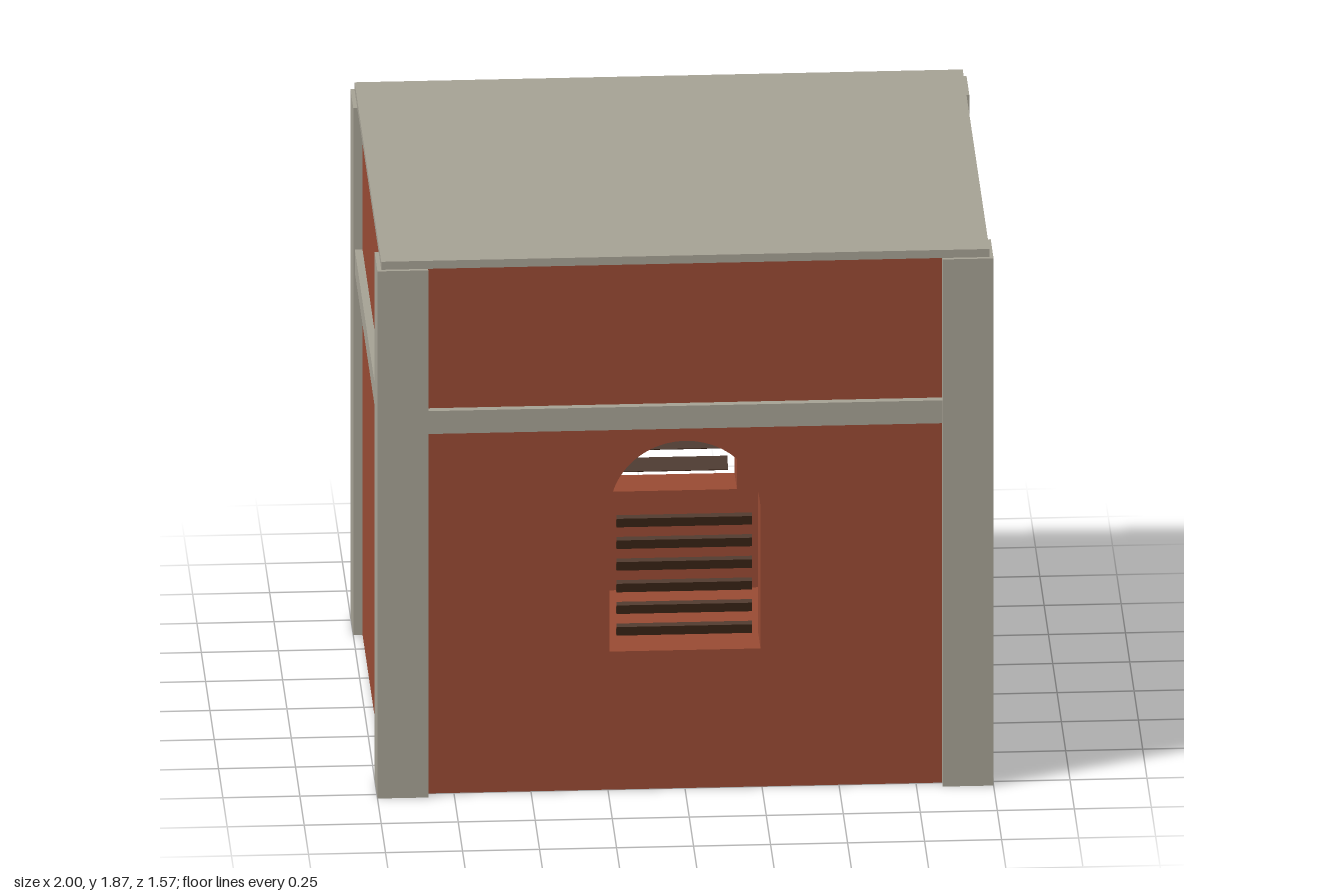
import * as THREE from 'three';

const H = 1.845;              // wall and pillar height
const X = 1, Z = 0.785;       // half extents over the pillars
const PILLAR = 0.165;
const INSET = 0.03;           // walls sit back from the pillar faces
const WALL = 0.14;            // wall thickness
const BASE = 0.002;           // keeps wall undersides off the pillar feet

function makeMaterial(name, color) {
  const m = new THREE.MeshStandardMaterial({ color });
  m.name = name;
  return m;
}

function add(parent, name, geometry, material, x = 0, y = 0, z = 0) {
  const mesh = new THREE.Mesh(geometry, material);
  mesh.name = name;
  mesh.position.set(x, y, z);
  parent.add(mesh);
  return mesh;
}

function polygon(points, Type = THREE.Shape) {
  return new Type(points.map(([x, y]) => new THREE.Vector2(x, y)));
}

function extrudeWall(shape) {
  return new THREE.ExtrudeGeometry(shape, { depth: WALL, bevelEnabled: false, curveSegments: 24 });
}

// Long wall with an arched window opening
function windowWallGeometry() {
  const w = X - INSET, r = 0.245;
  const shape = polygon([[-w, BASE], [w, BASE], [w, H], [-w, H]]);
  const hole = new THREE.Path();
  hole.moveTo(-r, 0.485);
  hole.lineTo(r, 0.485);
  hole.lineTo(r, 0.972);
  hole.absarc(0, 0.972, r, 0, Math.PI, false);
  hole.lineTo(-r, 0.485);
  shape.holes.push(hole);
  return extrudeWall(shape);
}

// Short wall with a doorway and a row of square vents above it
function doorWallGeometry() {
  const w = Z - INSET - WALL, d = 0.245, top = 1.14;
  const shape = polygon([
    [-w, BASE], [-d, BASE], [-d, top], [d, top], [d, BASE], [w, BASE], [w, H], [-w, H],
  ]);
  for (let i = -2; i <= 2; i++) {
    const c = i * 0.108, s = 0.034;
    shape.holes.push(polygon([
      [c - s, 1.19], [c - s, 1.255], [c + s, 1.255], [c + s, 1.19],
    ], THREE.Path));
  }
  return extrudeWall(shape);
}

export function createModel() {
  const brick = makeMaterial('brick red', 0x984a33);
  const stone = makeMaterial('stone grey', 0xa5a194);
  const wood = makeMaterial('dark wood', 0x482d1c);

  const model = new THREE.Group();
  model.name = 'brickHut';

  // Front and back: wall, tilted window slats
  const windowWall = windowWallGeometry();
  const slat = new THREE.BoxGeometry(0.44, 0.045, 0.015);
  for (const side of ['front', 'back']) {
    const group = new THREE.Group();
    group.name = side + 'Side';
    group.rotation.y = side === 'front' ? 0 : Math.PI;
    model.add(group);
    add(group, side + 'Wall', windowWall, brick, 0, 0, Z - INSET - WALL);
    for (let i = 0; i < 6; i++) {
      const s = add(group, side + 'WindowSlat', slat, wood, 0, 0.541 + i * 0.0758, Z - INSET - 0.05);
      s.rotation.x = Math.PI / 6;
    }
  }

  // Doorway wall on +x, plain wall on -x
  const doorWall = add(model, 'doorWall', doorWallGeometry(), brick, X - INSET - WALL);
  doorWall.rotation.y = Math.PI / 2;
  add(model, 'plainWall', new THREE.BoxGeometry(WALL, H - BASE, 2 * (Z - INSET - WALL)), brick,
    -(X - INSET - WALL / 2), (H + BASE) / 2, 0);

  // Raised floor, stopping at the inner wall faces
  add(model, 'floor', new THREE.BoxGeometry(2 * (X - INSET - WALL), 0.14 - BASE, 2 * (Z - INSET - WALL)),
    brick, 0, (0.14 + BASE) / 2, 0);

  // Corner pillars
  const pillar = new THREE.BoxGeometry(PILLAR, H, PILLAR);
  for (const sx of [-1, 1]) {
    for (const sz of [-1, 1]) {
      add(model, 'cornerPillar', pillar, stone, sx * (X - PILLAR / 2), H / 2, sz * (Z - PILLAR / 2));
    }
  }

  // Bands running between the pillars
  const depth = 0.06, gap = 0.005;
  const longBand = new THREE.BoxGeometry(2 * (X - PILLAR), 0.08, depth);
  const shortBand = new THREE.BoxGeometry(depth, 0.08, 2 * (Z - PILLAR));
  for (const s of [-1, 1]) {
    add(model, 'longBand', longBand, stone, 0, 1.31, s * (Z - gap - depth / 2));
    add(model, 'shortBand', shortBand, stone, s * (X - gap - depth / 2), 1.31, 0);
  }

  // Flat roof slab
  add(model, 'roofSlab', new THREE.BoxGeometry(1.974, 0.028, 1.544), stone, 0, H + 0.014, 0);

  return model;
}
